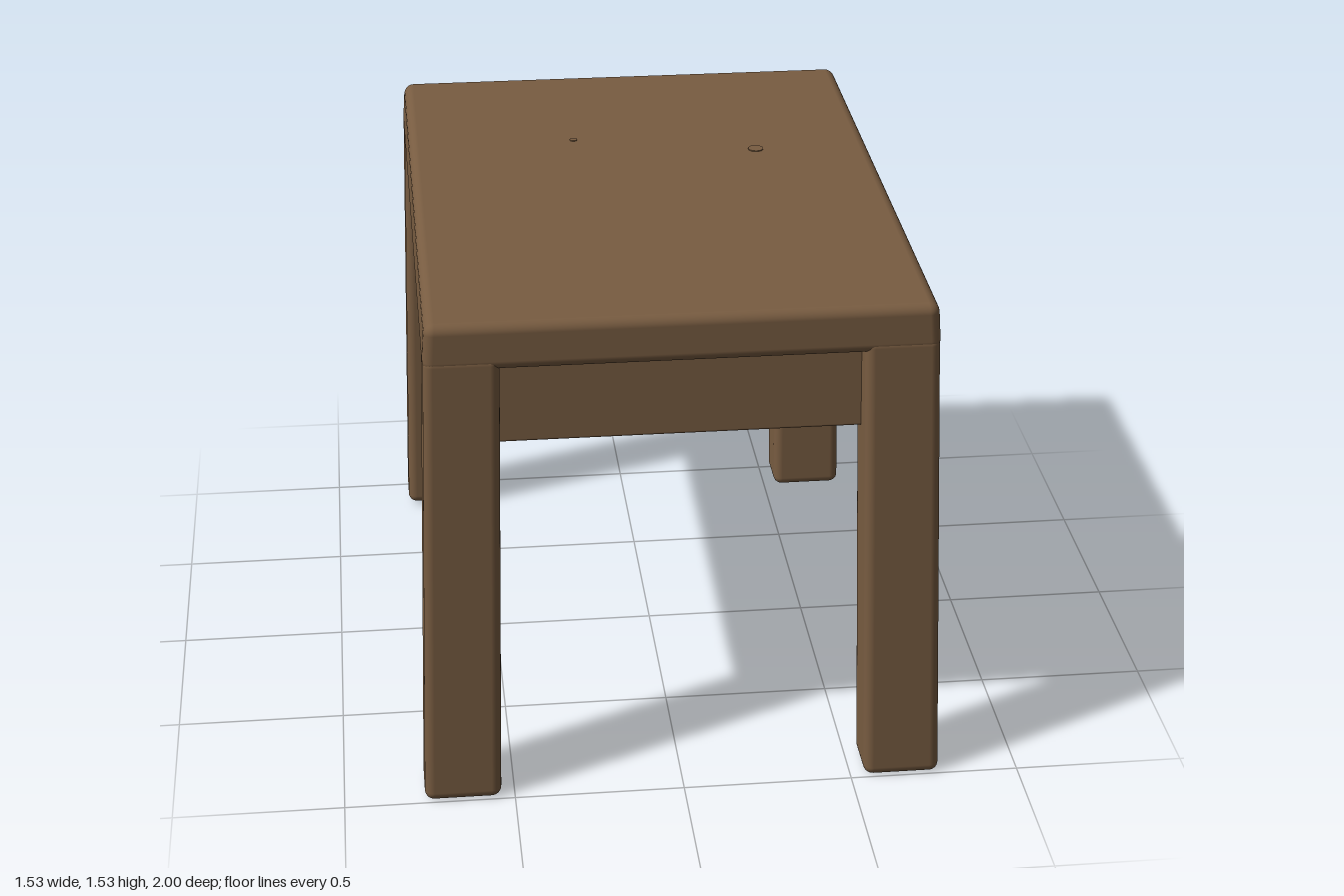
import * as THREE from 'three';
import { RoundedBoxGeometry } from 'three/addons/geometries/RoundedBoxGeometry.js';

export function createModel() {
  const model = new THREE.Group();
  model.name = 'stool';
  const wood = new THREE.MeshStandardMaterial({ color: 0x785c41 });
  wood.name = 'brown wood';

  // The seat and rails rise slightly towards the back
  const slope = 0.0135;
  const lerp = THREE.MathUtils.lerp;

  function add(name, geometry) {
    const mesh = new THREE.Mesh(geometry, wood);
    mesh.name = name;
    model.add(mesh);
    return mesh;
  }

  // Rounded box between two limits, then sheared along the slope
  function slopedBox(name, [x0, x1], [y0, y1], [z0, z1], radius) {
    const g = new RoundedBoxGeometry(x1 - x0, y1 - y0, z1 - z0, 3, radius);
    g.translate((x0 + x1) / 2, (y0 + y1) / 2, (z0 + z1) / 2);
    const shear = new THREE.Matrix4().set(
      1, 0, 0, 0,
      0, 1, -slope, 0,
      0, 0, 1, 0,
      0, 0, 0, 1);
    return add(name, g.applyMatrix4(shear));
  }

  // Seat: thick slab, slightly narrower at the top
  const seat = slopedBox('seat', [-0.725, 0.725], [1.375, 1.517], [-0.95, 0.938], 0.03);
  const sp = seat.geometry.attributes.position;
  for (let i = 0; i < sp.count; i++) {
    const t = (sp.getY(i) - 1.375) / 0.142;
    sp.setX(i, sp.getX(i) * (1 - 0.014 * t));
    sp.setZ(i, sp.getZ(i) * (1 - 0.004 * t));
  }

  // Splayed, slightly tapered legs: limits run from foot to seat
  function leg(name, sx, sz, foot) {
    const top = 1.42 - slope * sz;
    const g = new RoundedBoxGeometry(1, top - foot, 1, 4, 0.03);
    g.dispose();
    const box = new RoundedBoxGeometry(0.22, top - foot, 0.17, 4, 0.028);
    const p = box.attributes.position;
    for (let i = 0; i < p.count; i++) {
      const t = p.getY(i) / (top - foot) + 0.5;
      const y = foot + t * (top - foot);
      const width = lerp(0.225, 0.212, t) / 0.22;
      const cx = sx * lerp(sz > 0 ? 0.6525 : 0.645, 0.615, t);
      const cz = sz * lerp(0.915, sz > 0 ? 0.852 : 0.86, t);
      p.setXYZ(i, p.getX(i) * width + cx, y, p.getZ(i) + cz);
    }
    return add(name, box);
  }
  leg('frontLeftLeg', 1, 1, 0);
  leg('frontRightLeg', -1, 1, 0);
  leg('backLeftLeg', 1, -1, 0.012);
  leg('backRightLeg', -1, -1, 0.012);

  // Rails under the seat, set back from the outer faces of the legs
  const railY = [1.118, 1.39];
  slopedBox('frontRail', [-0.58, 0.58], railY, [0.79, 0.865], 0.008);
  slopedBox('backRail', [-0.58, 0.58], railY, [-0.875, -0.8], 0.008);
  slopedBox('leftRail', [0.56, 0.635], railY, [-0.82, 0.82], 0.008);
  slopedBox('rightRail', [-0.635, -0.56], railY, [-0.82, 0.82], 0.008);

  // Small wood knots on the seat
  for (const [x, z, r] of [[-0.2, -0.38, 0.012], [0.36, -0.25, 0.024]]) {
    const knot = add('knot', new THREE.CylinderGeometry(r, r, 0.006, 10));
    knot.position.set(x, 1.517 - slope * z, z);
    knot.rotation.x = slope;
  }

  return model;
}
